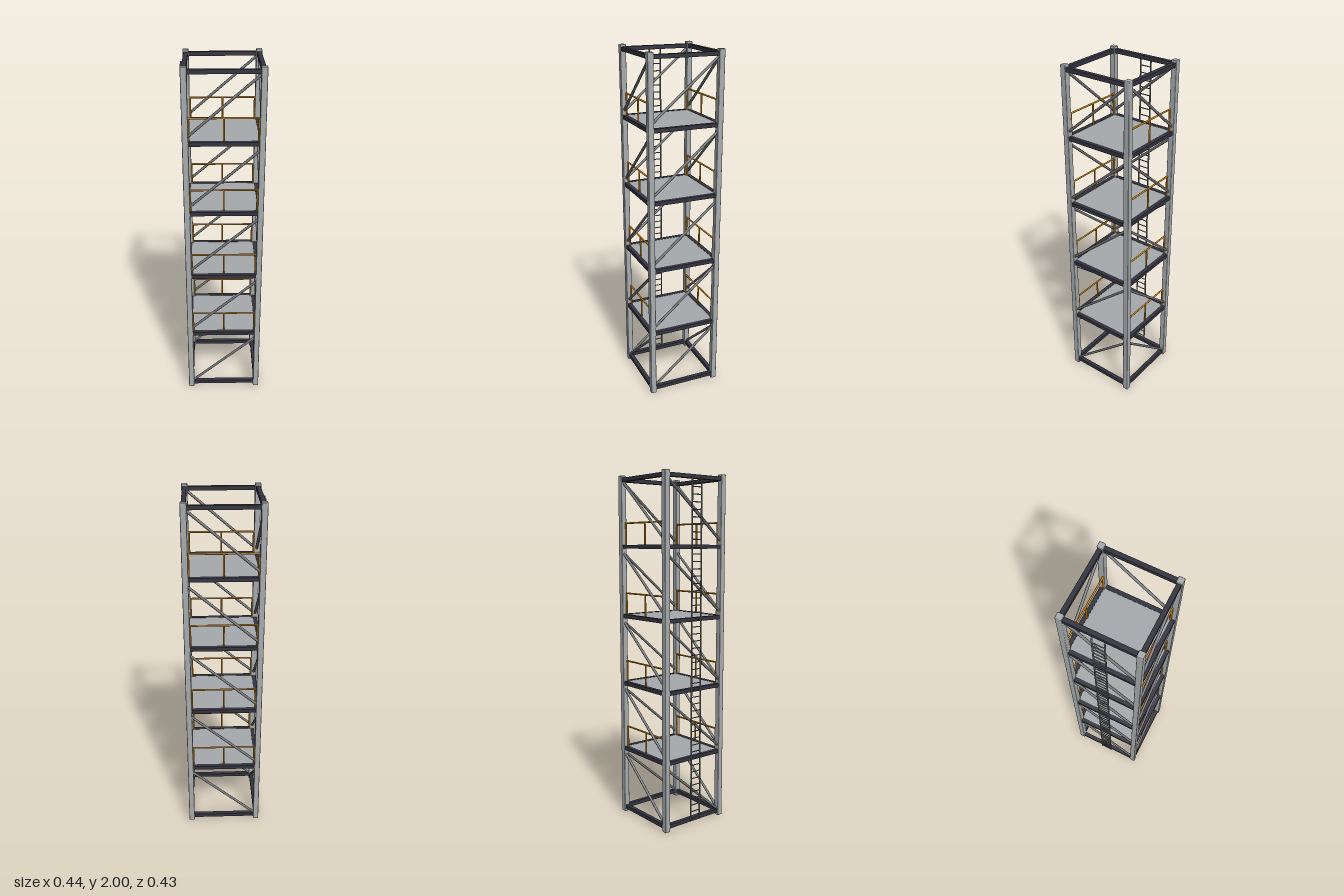
import * as THREE from 'three';
import { RoundedBoxGeometry } from 'three/addons/geometries/RoundedBoxGeometry.js';

const CX = 0.003; // tower axis, nudged sideways to balance the ladder
const R = 0.2; // half spacing of the columns

function material(name, color) {
  const m = new THREE.MeshStandardMaterial({ color });
  m.name = name;
  return m;
}

export function createModel() {
  const group = new THREE.Group();
  group.name = 'scaffoldTower';
  const steel = material('columnGrey', 0xa8adaf);
  const dark = material('beamCharcoal', 0x343440);
  const braceGrey = material('braceGrey', 0x717477);
  const deckGrey = material('deckGrey', 0xa7aaac);
  const amber = material('railingAmber', 0xcc8412);

  const add = (name, geometry, mat, x, y, z) => {
    const mesh = new THREE.Mesh(geometry, mat);
    mesh.name = name;
    mesh.position.set(x, y, z);
    group.add(mesh);
    return mesh;
  };
  const box = (name, mat, w, h, d, x, y, z) =>
    add(name, new THREE.BoxGeometry(w, h, d), mat, x, y, z);

  // Round bar between two points
  const bar = (name, mat, radius, from, to) => {
    const a = new THREE.Vector3(...from);
    const b = new THREE.Vector3(...to);
    const dir = b.clone().sub(a);
    const mid = a.clone().add(b).multiplyScalar(0.5);
    const mesh = add(name, new THREE.CylinderGeometry(radius, radius, dir.length(), 10), mat, mid.x, mid.y, mid.z);
    mesh.quaternion.setFromUnitVectors(new THREE.Vector3(0, 1, 0), dir.normalize());
  };

  // Four corner columns
  for (const sx of [-1, 1])
    for (const sz of [-1, 1])
      add('column', new RoundedBoxGeometry(0.033, 2, 0.033, 2, 0.004), steel, CX + sx * R, 1, sz * R);

  // Square ring of beams at every level
  const levels = [0.03, 0.402, 0.802, 1.202, 1.602, 1.976];
  for (const y of levels) {
    for (const s of [-1, 1]) {
      box('crossBeam', dark, 2 * R, 0.022, 0.024, CX, y, s * R);
      box('sideBeam', dark, 0.024, 0.022, 2 * R, CX + s * R, y, 0);
    }
  }

  // Decks with front and back railings on the four middle levels
  for (const y of levels.slice(1, 5)) {
    box('deck', deckGrey, 0.38, 0.01, 0.38, CX, y + 0.004, 0);
    for (const s of [-1, 1]) {
      const z = s * 0.189;
      bar('topRail', amber, 0.005, [CX - 0.187, y + 0.133, z], [CX + 0.187, y + 0.133, z]);
      for (const x of [-0.181, 0, 0.181])
        bar('railPost', amber, 0.005, [CX + x, y, z], [CX + x, y + 0.133, z]);
    }
  }

  // One diagonal per bay on each face
  for (let i = 0; i < 5; i++) {
    const low = i * 0.4 + 0.03;
    const high = i * 0.4 + 0.372;
    for (const s of [-1, 1]) {
      bar('faceBrace', braceGrey, 0.0075, [CX - R, low, s * R], [CX + R, high, s * R]);
      bar('sideBrace', braceGrey, 0.0075, [CX + s * R, low, R], [CX + s * R, high, -R]);
    }
  }

  // Ladder on the right face
  const lx = -0.217;
  for (const s of [-1, 1])
    bar('ladderRail', braceGrey, 0.0045, [lx, 0.03, s * 0.033], [lx, 1.972, s * 0.033]);
  for (let i = 1; i <= 48; i++)
    bar('ladderRung', braceGrey, 0.003, [lx, i * 0.04 + 0.002, -0.033], [lx, i * 0.04 + 0.002, 0.033]);

  return group;
}
